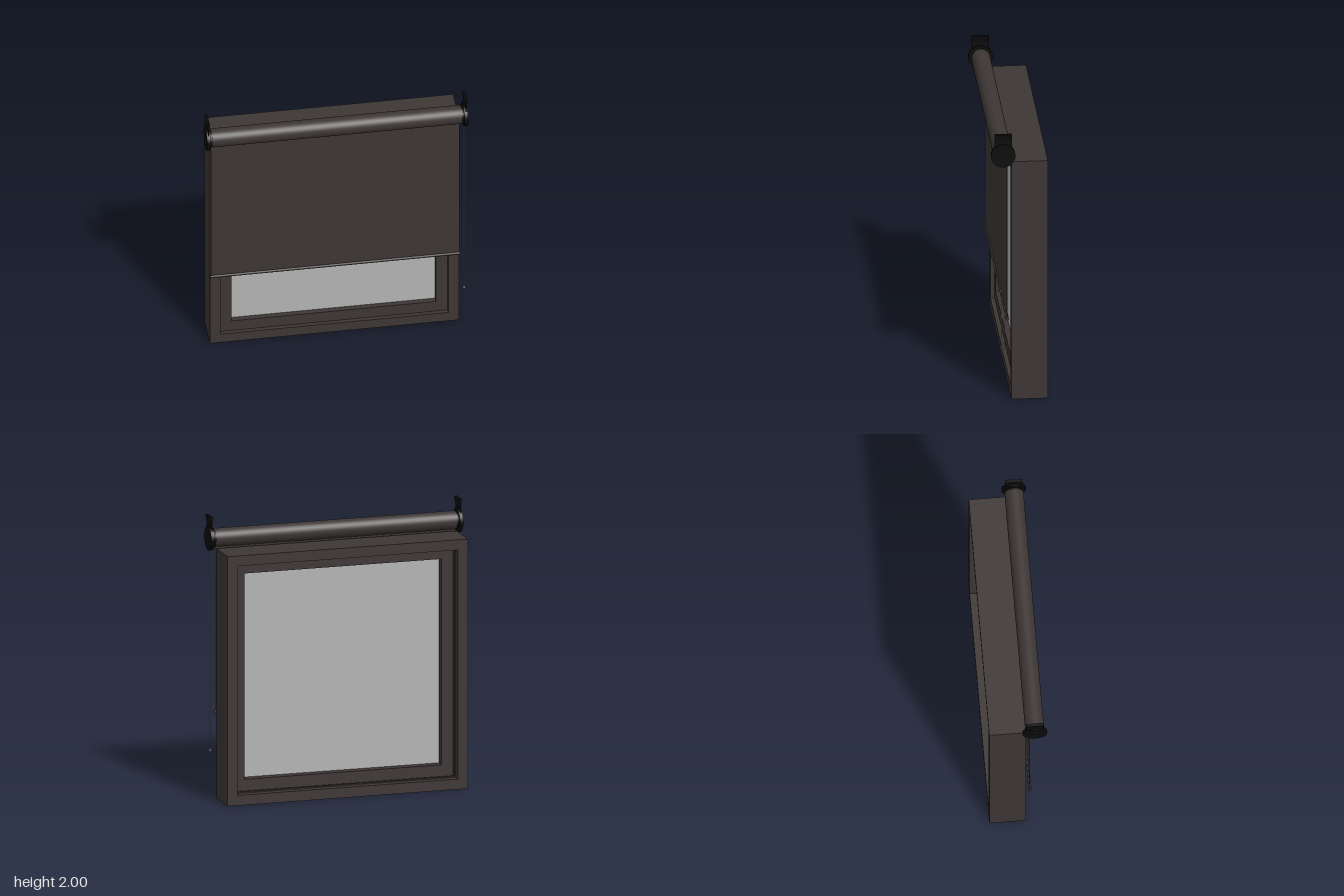
import * as THREE from 'three';

const mat = (name, color) => new THREE.MeshStandardMaterial({ name, color });

export function createModel() {
  const model = new THREE.Group();
  model.name = 'windowWithRollerBlind';
  const frameMat = mat('darkBrown', 0x3d3635);
  const glassMat = mat('glassGrey', 0xb4b4b4);
  const blackMat = mat('black', 0x0b0b0b);
  const chainMat = mat('chainGrey', 0x8c8c8c);

  const add = (name, geometry, material, x = 0, y = 0, z = 0, parent = model) => {
    const mesh = new THREE.Mesh(geometry, material);
    mesh.name = name;
    mesh.position.set(x, y, z);
    parent.add(mesh);
    return mesh;
  };
  const rod = (r, length, sides = 32) => new THREE.CylinderGeometry(r, r, length, sides).rotateZ(Math.PI / 2);

  // Rectangular ring: insets are measured from the outer edge of the window
  const W = 1.745, H = 1.78, CX = -0.006;
  const rect = (Type, inset) => {
    const x = W / 2 - inset, b = inset, t = H - inset;
    const path = new Type();
    path.moveTo(-x, b);
    path.lineTo(x, b);
    path.lineTo(x, t);
    path.lineTo(-x, t);
    path.closePath();
    return path;
  };
  const ring = (name, outer, inner, back, front) => {
    const shape = rect(THREE.Shape, outer);
    shape.holes.push(rect(THREE.Path, inner));
    add(name, new THREE.ExtrudeGeometry(shape, { depth: front - back, bevelEnabled: false }), frameMat, CX, 0, back);
  };

  // Window
  ring('outerFrame', 0, 0.073, -0.2, 0.055);
  ring('glazingStop', 0.06, 0.081, -0.145, -0.12);
  ring('sash', 0.07, 0.156, -0.09, 0.025);
  add('glassPane', new THREE.BoxGeometry(W - 0.3, H - 0.3, 0.012), glassMat, CX, H / 2, -0.02);

  // Blind
  const RY = 1.843, RZ = 0.115;
  add('rollerTube', rod(0.066, 1.75, 48), frameMat, -0.005, RY, RZ);
  add('blindFabric', new THREE.BoxGeometry(1.745, 1.23, 0.003), frameMat, -0.004, 1.22, 0.083);
  add('bottomBar', rod(0.011, 1.75, 16), frameMat, -0.004, 0.606, 0.083);

  // Brackets at both ends
  for (const side of [1, -1]) {
    const bracket = new THREE.Group();
    bracket.name = side > 0 ? 'leftBracket' : 'rightBracket';
    bracket.position.x = -0.004;
    model.add(bracket);
    add('endDisc', rod(0.085, 0.026, 40), blackMat, side * 0.902, RY, RZ, bracket);
    add('innerCollar', rod(0.063, 0.022), blackMat, side * 0.882, RY, RZ, bracket);
    add('mountPlate', new THREE.BoxGeometry(0.003, 0.16, 0.12), blackMat, side * 0.903, 1.92, RZ, bracket);
    // Tapered lip that meets the ceiling
    const lip = new THREE.Shape([
      [0.892, 2], [0.897, 1.97], [0.9, 1.95], [0.905, 1.95], [0.911, 1.98], [0.914, 2],
    ].map(([x, y]) => new THREE.Vector2(side * x, y)));
    add('topLip', new THREE.ExtrudeGeometry(lip, { depth: 0.12, bevelEnabled: false }), blackMat, 0, 0, RZ - 0.06, bracket);
  }

  // Pull chain: a narrow loop with a small weight
  const loop = new THREE.CatmullRomCurve3([
    [0.128, 1.84], [0.128, 1.2], [0.127, 0.5], [0.12, 0.36], [0.116, 0.342],
    [0.112, 0.36], [0.105, 0.5], [0.104, 1.2], [0.104, 1.84],
  ].map(([z, y]) => new THREE.Vector3(0.894, y, z)));
  add('pullChain', new THREE.TubeGeometry(loop, 80, 0.0017, 6), chainMat);
  add('chainWeight', new THREE.CylinderGeometry(0.003, 0.01, 0.026, 12), chainMat, 0.894, 0.333, 0.116)
    .scale.z = 0.4;

  return model;
}
